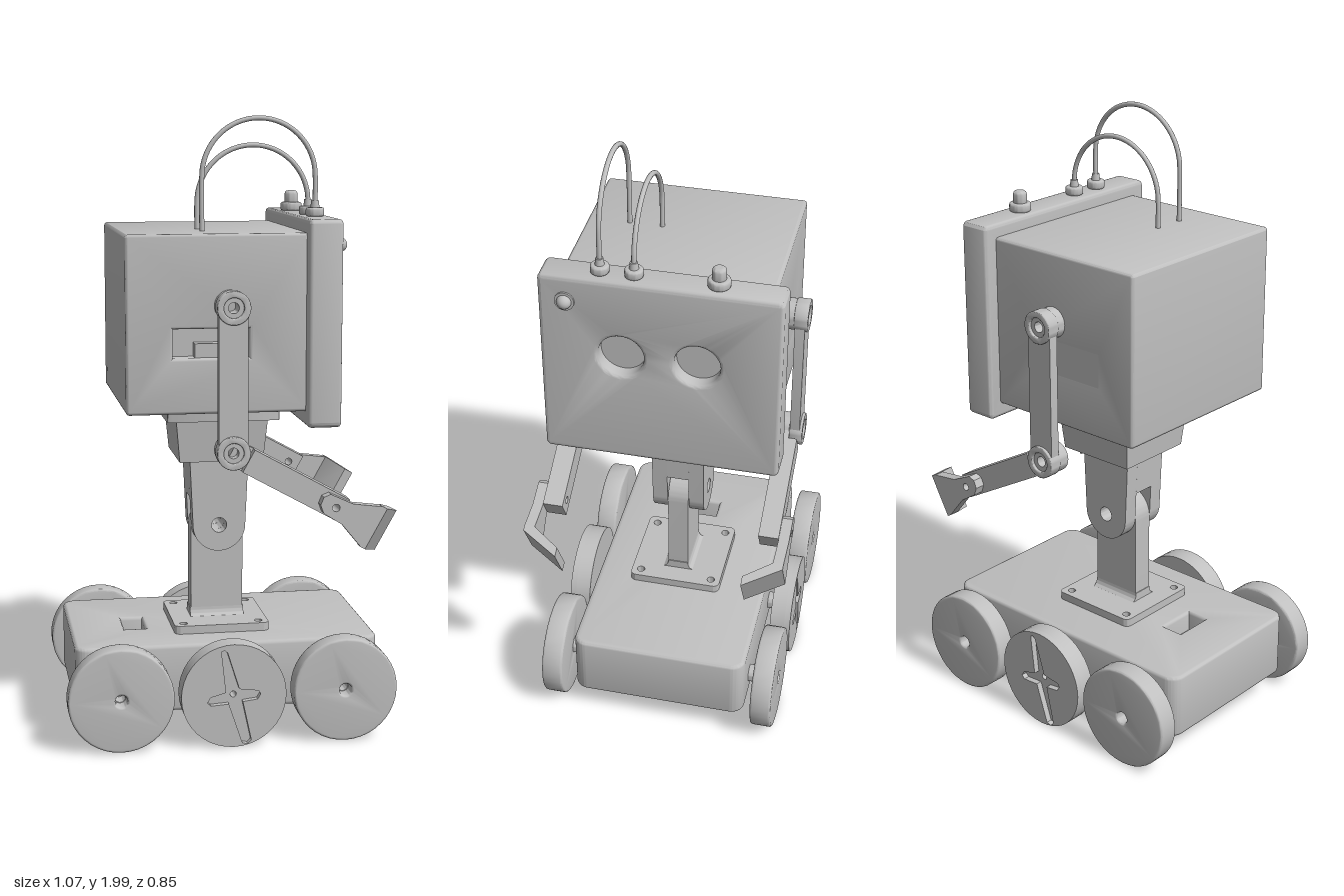
import * as THREE from 'three';
import { toCreasedNormals } from 'three/addons/utils/BufferGeometryUtils.js';

const grey = new THREE.MeshStandardMaterial({ color: 0xc0c0c0 });
grey.name = 'plain grey';

function add(parent, name, geometry, x = 0, y = 0, z = 0) {
  const mesh = new THREE.Mesh(geometry, grey);
  mesh.name = name;
  mesh.position.set(x, y, z);
  parent.add(mesh);
  return mesh;
}

// Extrudes a shape along an axis from 0 to depth, with an optional bevel inside the outline
function slab(shape, depth, axis = 'z', bevel = 0) {
  const g = new THREE.ExtrudeGeometry(shape, {
    depth: depth - 2 * bevel, curveSegments: 20, bevelEnabled: bevel > 0,
    bevelThickness: bevel, bevelSize: bevel, bevelOffset: -bevel, bevelSegments: 3,
  });
  g.translate(0, 0, bevel);
  if (axis === 'y') g.rotateX(-Math.PI / 2);
  if (axis === 'x') g.rotateY(Math.PI / 2);
  return toCreasedNormals(g, 0.6);
}

const poly = (pts) => new THREE.Shape(pts.map(([x, y]) => new THREE.Vector2(x, y)));
const circle = (r, x = 0, y = 0) => new THREE.Shape().absarc(x, y, r, 0, Math.PI * 2, false);

function rect(x0, y0, x1, y1, r = 0) {
  if (!r) return poly([[x0, y0], [x1, y0], [x1, y1], [x0, y1]]);
  return new THREE.Shape()
    .absarc(x1 - r, y0 + r, r, -Math.PI / 2, 0, false)
    .absarc(x1 - r, y1 - r, r, 0, Math.PI / 2, false)
    .absarc(x0 + r, y1 - r, r, Math.PI / 2, Math.PI, false)
    .absarc(x0 + r, y0 + r, r, Math.PI, Math.PI * 1.5, false);
}

function cut(shape, ...holes) {
  shape.holes.push(...holes);
  return shape;
}

function box(parent, name, x0, x1, y0, y1, z0, z1) {
  return add(parent, name, new THREE.BoxGeometry(x1 - x0, y1 - y0, z1 - z0),
    (x0 + x1) / 2, (y0 + y1) / 2, (z0 + z1) / 2);
}

const MID = -0.007;

function buildBase(root) {
  const base = new THREE.Group();
  base.name = 'base';
  base.position.z = -0.02;
  root.add(base);

  // Chassis with a slot behind the post, and the slot floor
  const slot = rect(-0.32, -0.085, -0.25, 0.045);
  add(base, 'chassis', slab(cut(rect(-0.5, -0.293, 0.49, 0.293, 0.045), slot), 0.22, 'y', 0.012), 0, 0.1, 0);
  box(base, 'slotFloor', -0.332, -0.238, 0.1, 0.25, -0.057, 0.097);

  // Horn-shaped recess for the middle wheels
  const cross = poly([[-0.041, 0.148], [-0.03, 0.152], [-0.021, 0.143], [0.017, 0.022], [0.08, 0.014],
    [0.086, 0.002], [0.076, -0.014], [0.028, -0.02], [0.056, -0.15], [0.044, -0.162], [0.027, -0.158],
    [-0.017, -0.026], [-0.075, -0.03], [-0.086, -0.019], [-0.076, -0.002], [-0.026, 0.012]]);

  for (const side of [1, -1]) {
    for (const x of [-0.365, -0.005, 0.36]) {
      const wheel = new THREE.Group();
      wheel.name = 'wheel';
      wheel.position.set(x, 0.175, side * 0.325);
      if (side < 0) wheel.rotation.y = Math.PI;
      base.add(wheel);
      if (x === -0.005) {
        add(wheel, 'wheelDisc', slab(cut(circle(0.17), circle(0.01)), 0.05));
        add(wheel, 'wheelFace', slab(cut(circle(0.17), cross), 0.02), 0, 0, 0.05);
      } else {
        add(wheel, 'wheelDisc', slab(cut(circle(0.17), circle(0.02)), 0.07, 'z', 0.007));
      }
      add(wheel, 'axle', slab(cut(circle(0.029), circle(0.018)), 0.07), 0, 0, -0.05);
    }
  }
}

function buildNeck(root) {
  const neck = new THREE.Group();
  neck.name = 'neck';
  neck.position.x = MID;
  root.add(neck);
  const corners = (d, r) => [[1, 1], [1, -1], [-1, 1], [-1, -1]].map(([a, b]) => circle(r, a * d, b * d));

  // Bolted foot, flared root and post
  add(neck, 'footPlate', slab(cut(rect(-0.157, -0.157, 0.157, 0.157, 0.02), ...corners(0.125, 0.013)), 0.027, 'y'), 0, 0.32, 0);
  const flare = new THREE.Shape().moveTo(-0.065, 0).lineTo(0.065, 0);
  flare.quadraticCurveTo(0.035, 0, 0.035, 0.03).lineTo(-0.035, 0.03).quadraticCurveTo(-0.035, 0, -0.065, 0);
  add(neck, 'postFlare', slab(flare, 0.18, 'x'), -0.09, 0.345, 0);
  const post = new THREE.Shape().moveTo(-0.087, 0.34).lineTo(0.087, 0.34);
  post.absarc(0, 0.645, 0.087, 0, Math.PI, false);
  add(neck, 'post', slab(cut(post, circle(0.025, 0, 0.667)), 0.07), 0, 0, -0.035);

  // Fork around the post
  const prong = () => new THREE.Shape().moveTo(0.097, 0.89).lineTo(-0.097, 0.89)
    .absarc(0, 0.667, 0.087, Math.PI, Math.PI * 2, false);
  for (const z of [0.037, -0.088]) {
    add(neck, 'forkProng', slab(cut(prong(), circle(0.025, 0, 0.667)), 0.051), 0, 0, z);
  }
  add(neck, 'forkBridge', slab(poly([[-0.091, 0.754], [0.091, 0.754], [0.097, 0.89], [-0.097, 0.89]]), 0.076), 0, 0, -0.038);

  // Tapered collar and head mount
  const collar = new THREE.CylinderGeometry(0.15 * Math.SQRT2, 0.137 * Math.SQRT2, 0.14, 4);
  collar.rotateY(Math.PI / 4);
  add(neck, 'collar', toCreasedNormals(collar, 0.6), 0, 0.96, 0);
  add(neck, 'headMount', slab(cut(rect(-0.183, -0.183, 0.183, 0.183, 0.01), ...corners(0.162, 0.01)), 0.055, 'y'), 0, 1.03, 0);
}

function buildHead(root) {
  const head = new THREE.Group();
  head.name = 'head';
  root.add(head);

  // Head shell with a recessed side window on its +z side
  const port = rect(-0.19, 1.256, 0.05, 1.347);
  add(head, 'headShell', slab(cut(rect(-0.337, 1.08, 0.24, 1.64, 0.012), port), 0.658, 'z', 0.01), 0, 0, -0.333);
  box(head, 'windowFloor', -0.2, 0.06, 1.246, 1.357, -0.333, 0.27);
  box(head, 'windowBar', -0.12, -0.02, 1.256, 1.3, 0.26, 0.31);

  // Face plate with two sunken round eyes
  const eyes = [0.12, -0.117];
  const face = cut(rect(-0.372, 1.033, 0.378, 1.683, 0.018), ...eyes.map((z) => circle(0.072, -z, 1.418)));
  add(head, 'facePlate', slab(face, 0.106, 'x', 0.012), 0.23, 0, 0);
  for (const z of eyes) add(head, 'eye', slab(circle(0.08), 0.06, 'x'), 0.23, 1.418, z);

  // Small lamp beside the eyes
  add(head, 'lampRing', slab(cut(circle(0.031), circle(0.023)), 0.008, 'x'), 0.334, 1.6, 0.288);
  add(head, 'lamp', new THREE.SphereGeometry(0.023, 24, 16), 0.342, 1.6, 0.288);

  // Looped wires in their sockets
  for (const [z, top] of [[0.19, 1.99], [0.085, 1.905]]) {
    add(head, 'wireSocket', slab(circle(0.029), 0.028, 'y', 0.006), 0.283, 1.683, z);
    add(head, 'wireCollar', new THREE.CylinderGeometry(0.012, 0.015, 0.025, 20), 0.283, 1.72, z);
    const pts = [new THREE.Vector3(0.283, 1.7, z)];
    for (let i = 0; i <= 16; i++) {
      const a = Math.PI * i / 16;
      pts.push(new THREE.Vector3(0.102 + 0.181 * Math.cos(a), top - 0.181 + 0.181 * Math.sin(a), z));
    }
    pts.push(new THREE.Vector3(-0.079, 1.63, z));
    add(head, 'wire', new THREE.TubeGeometry(new THREE.CatmullRomCurve3(pts), 80, 0.008, 10));
  }

  // Push button
  add(head, 'buttonBase', slab(circle(0.035), 0.028, 'y', 0.006), 0.28, 1.683, -0.172);
  add(head, 'button', slab(circle(0.022), 0.05, 'y', 0.012), 0.28, 1.7, -0.172);
}

function buildArm(root, side) {
  const arm = new THREE.Group();
  arm.name = side > 0 ? 'nearArm' : 'farArm';
  arm.position.set(-0.011, 0.966, side > 0 ? 0 : -0.005);
  arm.scale.z = side;
  root.add(arm);
  const H = 0.452;

  // Upper arm with a ring boss at each joint
  const upper = new THREE.Shape().absarc(0, H, 0.046, 0, Math.PI, false).absarc(0, 0, 0.046, Math.PI, Math.PI * 2, false);
  add(arm, 'upperArm', slab(cut(upper, circle(0.017, 0, 0), circle(0.017, 0, H)), 0.032), 0, 0, 0.36);
  for (const y of [0, H]) {
    add(arm, 'jointBoss', slab(cut(circle(0.053), circle(0.032)), 0.044, 'z', 0.003), 0, y, 0.357);
    add(arm, 'jointHub', slab(cut(circle(0.05), circle(0.017)), 0.04), 0, y, 0.32);
  }

  // Forearm, running forward and down from the elbow
  const fore = new THREE.Group();
  fore.name = 'forearm';
  fore.rotation.z = -29 * Math.PI / 180;
  arm.add(fore);
  add(fore, 'elbowTongue', slab(rect(0, -0.04, 0.08, 0.04), 0.038), 0, 0, 0.322);
  add(fore, 'forearmBar', slab(cut(rect(0.056, -0.04, 0.405, 0.04), circle(0.012, 0.367, 0)), 0.066), 0, 0, 0.322);

  // Hand: flared outer plate and a claw bent inward
  const palm = poly([[0.315, 0.012], [0.33, 0.03], [0.41, 0.036], [0.5, 0.072], [0.5, -0.074], [0.41, -0.038], [0.34, -0.034], [0.318, -0.015]]);
  add(fore, 'handPlate', slab(cut(palm, circle(0.012, 0.367, 0)), 0.034), 0, 0, 0.388);
  const claw = poly([[0.495, -0.422], [0.515, -0.422], [0.587, -0.3], [0.556, -0.3], [0.495, -0.392]]);
  add(fore, 'claw', slab(claw, 0.146, 'y'), 0, -0.074, 0);
}

export function createModel() {
  const root = new THREE.Group();
  root.name = 'wheeledRobot';
  buildBase(root);
  buildNeck(root);
  buildHead(root);
  buildArm(root, 1);
  buildArm(root, -1);
  return root;
}
